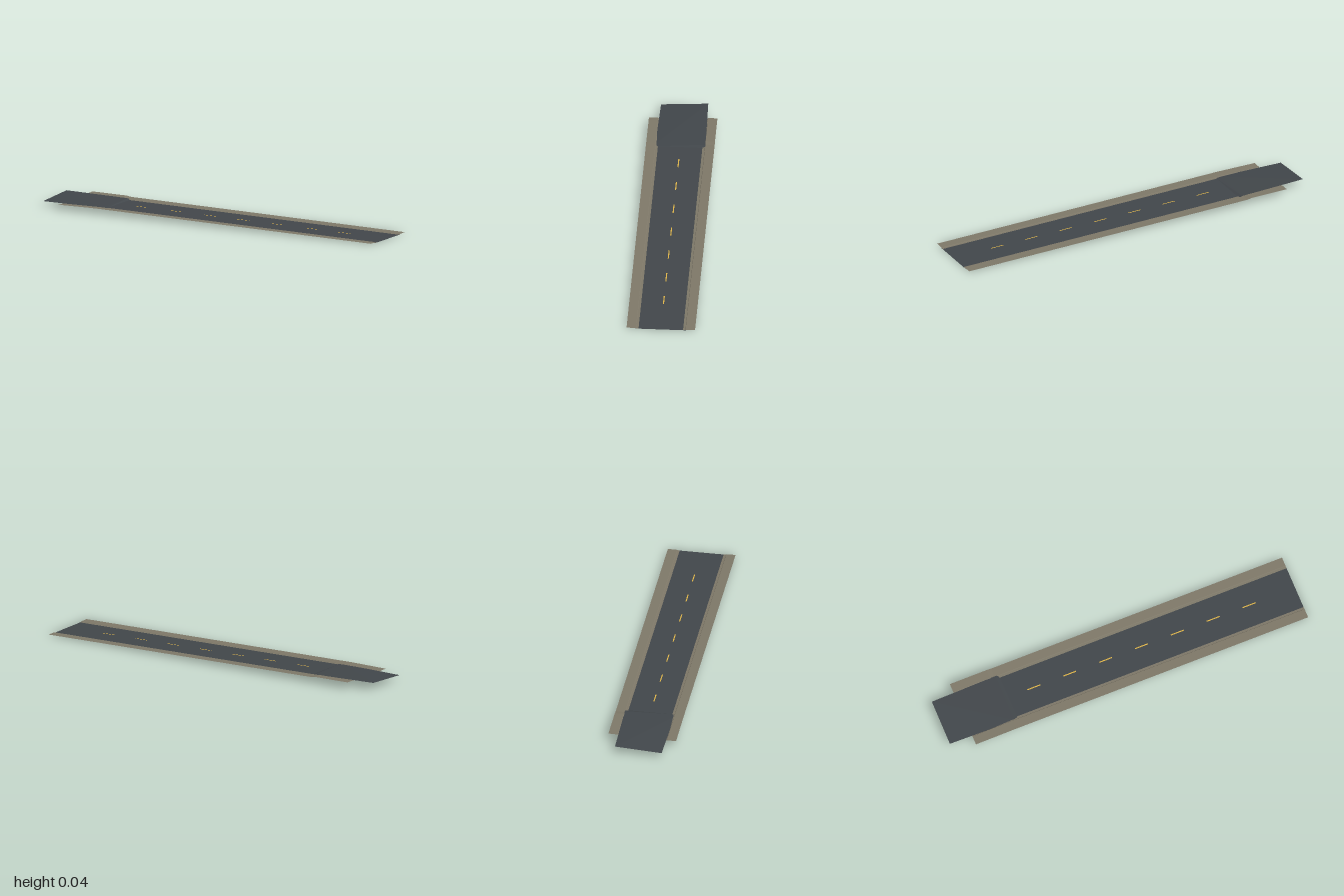
import * as THREE from 'three';

const mat = (name, color) => {
  const m = new THREE.MeshStandardMaterial({ color, side: THREE.DoubleSide });
  m.name = name;
  return m;
};

// Steady climb of the road bed along its length
const base = (z) => 0.001 + 0.0155 * (0.979 - z);

// Strip lofted through cross-sections; each section is a left-to-right list of [x, y, z]
function ribbon(name, sections, material) {
  const n = sections[0].length;
  const index = [];
  for (let i = 0; i < sections.length - 1; i++) {
    for (let j = 0; j < n - 1; j++) {
      const a = i * n + j, b = a + 1, c = a + n, d = c + 1;
      index.push(a, b, d, a, d, c);
    }
  }
  let g = new THREE.BufferGeometry();
  g.setAttribute('position', new THREE.Float32BufferAttribute(sections.flat(2), 3));
  g.setIndex(index);
  g = g.toNonIndexed();
  g.computeVertexNormals();
  const mesh = new THREE.Mesh(g, material);
  mesh.name = name;
  return mesh;
}

export function createModel() {
  const asphalt = mat('asphalt', 0x42474b);
  const gravel = mat('gravel', 0x7f7969);
  const paint = mat('yellow paint', 0xe0b548);

  const model = new THREE.Group();
  model.name = 'road';
  const road = new THREE.Group();
  road.name = 'roadSection';
  road.rotation.y = THREE.MathUtils.degToRad(9.1);
  road.position.set(-0.01, 0, 0);
  model.add(road);

  // Carriageway: z, half width, left height, right height; banked at the far end
  const lanes = [
    [0.979, 0.13, base(0.979), base(0.979)],
    [-0.62, 0.13, base(-0.62), base(-0.62)],
    [-0.64, 0.13, 0.0265, 0.032],
    [-0.997, 0.122, 0.025, 0.04],
  ];
  road.add(ribbon('carriageway', lanes.map(([z, w, l, r]) => [[-w, l, z], [w, r, z]]), asphalt));

  // Shoulders: a low inner lip, a small step, then a gently rising outer bank
  const profile = [[0.115, 0.001], [0.127, 0.0015], [0.129, 0.003], [0.177, 0.004]];
  const beds = {
    left: [[0.979, base(0.979)], [-0.62, base(-0.62) - 0.001], [-0.65, 0.0255], [-0.874, 0.0235]],
    right: [[0.979, base(0.979)], [-0.645, base(-0.645)], [-0.67, 0.0305], [-0.874, 0.0325]],
  };
  // the model's left is +x, so the banked edge lies on its left
  for (const [side, sign, bed] of [['right', -1, beds.left], ['left', 1, beds.right]]) {
    const sections = bed.map(([z, y]) => {
      const s = profile.map(([x, dy]) => [sign * x, y + dy, z]);
      return sign < 0 ? s.reverse() : s;
    });
    road.add(ribbon(side + 'Shoulder', sections, gravel));
  }

  // Dashed centre line
  for (let i = 0; i < 8; i++) {
    const z = 0.722 - i * 0.2, w = 0.003;
    const row = (zz) => [[-w, base(zz) + 0.001, zz], [w, base(zz) + 0.001, zz]];
    road.add(ribbon('centreDash', [row(z + 0.036), row(z - 0.036)], paint));
  }
  return model;
}
